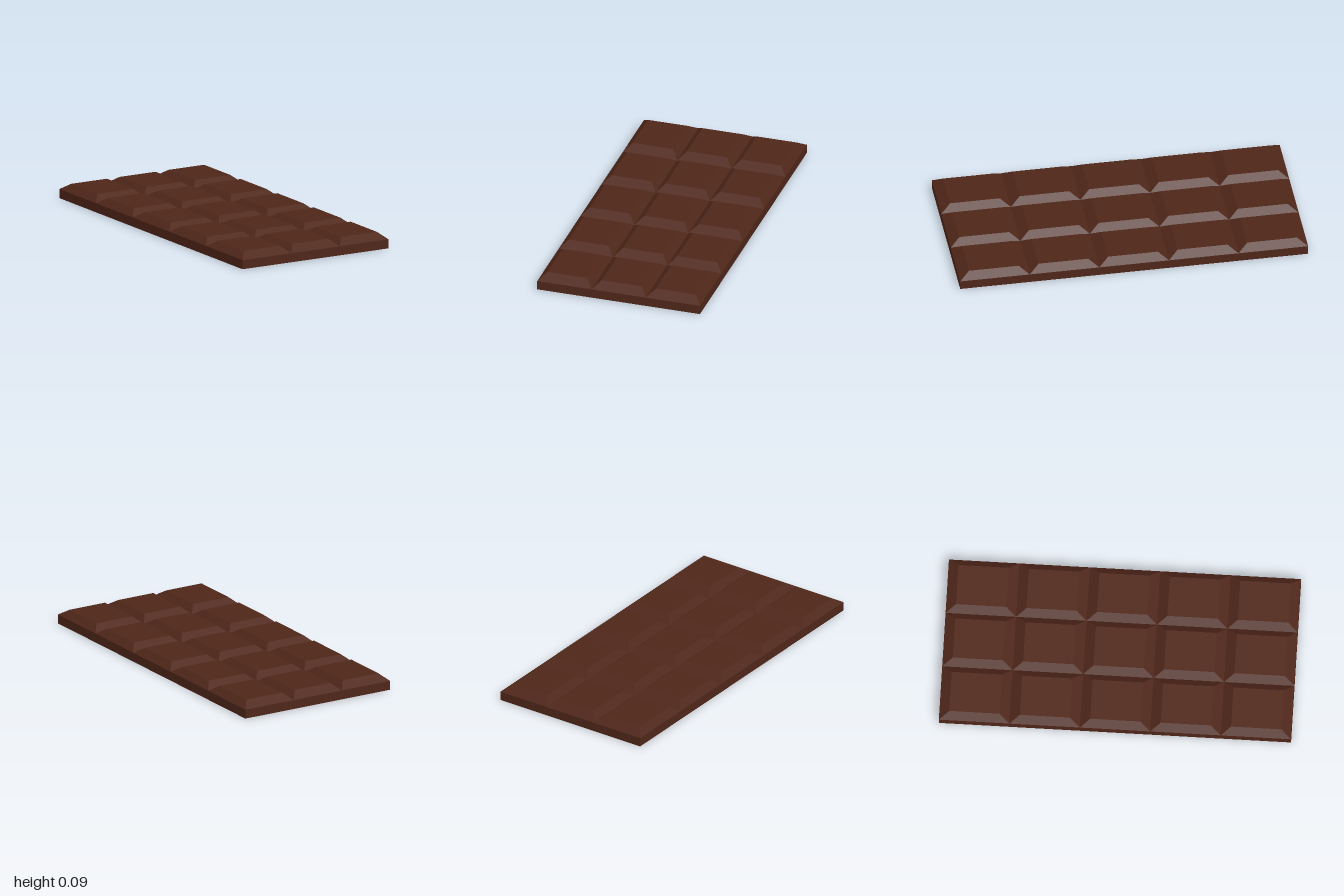
import * as THREE from 'three';

const COLS = 3, ROWS = 5;
const WIDTH = 0.968, LENGTH = 2;
const BASE_H = 0.053, TOP_H = 0.09;
const INSET_X = 0.043, INSET_Z = 0.057;

// Box whose top is drawn in on all four sides, giving sloped edges
function bevelledBlock(w, h, d) {
  const geo = new THREE.BoxGeometry(w, h, d);
  const p = geo.attributes.position;
  for (let i = 0; i < p.count; i++) {
    if (p.getY(i) > 0) {
      p.setX(i, p.getX(i) - Math.sign(p.getX(i)) * INSET_X);
      p.setZ(i, p.getZ(i) - Math.sign(p.getZ(i)) * INSET_Z);
    }
  }
  geo.computeVertexNormals();
  return geo;
}

export function createModel() {
  const group = new THREE.Group();
  group.name = 'chocolateBar';
  const chocolate = new THREE.MeshStandardMaterial({ color: 0x4f2619 });

  // Solid base slab
  const base = new THREE.Mesh(new THREE.BoxGeometry(WIDTH, BASE_H, LENGTH), chocolate);
  base.name = 'baseSlab';
  base.position.y = BASE_H / 2;
  group.add(base);

  // Grid of raised squares, meeting in V-shaped grooves
  const w = WIDTH / COLS, d = LENGTH / ROWS, h = TOP_H - BASE_H;
  const blockGeo = bevelledBlock(w, h, d);
  const squares = new THREE.Group();
  squares.name = 'squares';
  for (let r = 0; r < ROWS; r++) {
    for (let c = 0; c < COLS; c++) {
      const square = new THREE.Mesh(blockGeo, chocolate);
      square.name = `square_${r + 1}_${c + 1}`;
      square.position.set((c - (COLS - 1) / 2) * w, BASE_H + h / 2, (r - (ROWS - 1) / 2) * d);
      squares.add(square);
    }
  }
  group.add(squares);
  return group;
}
